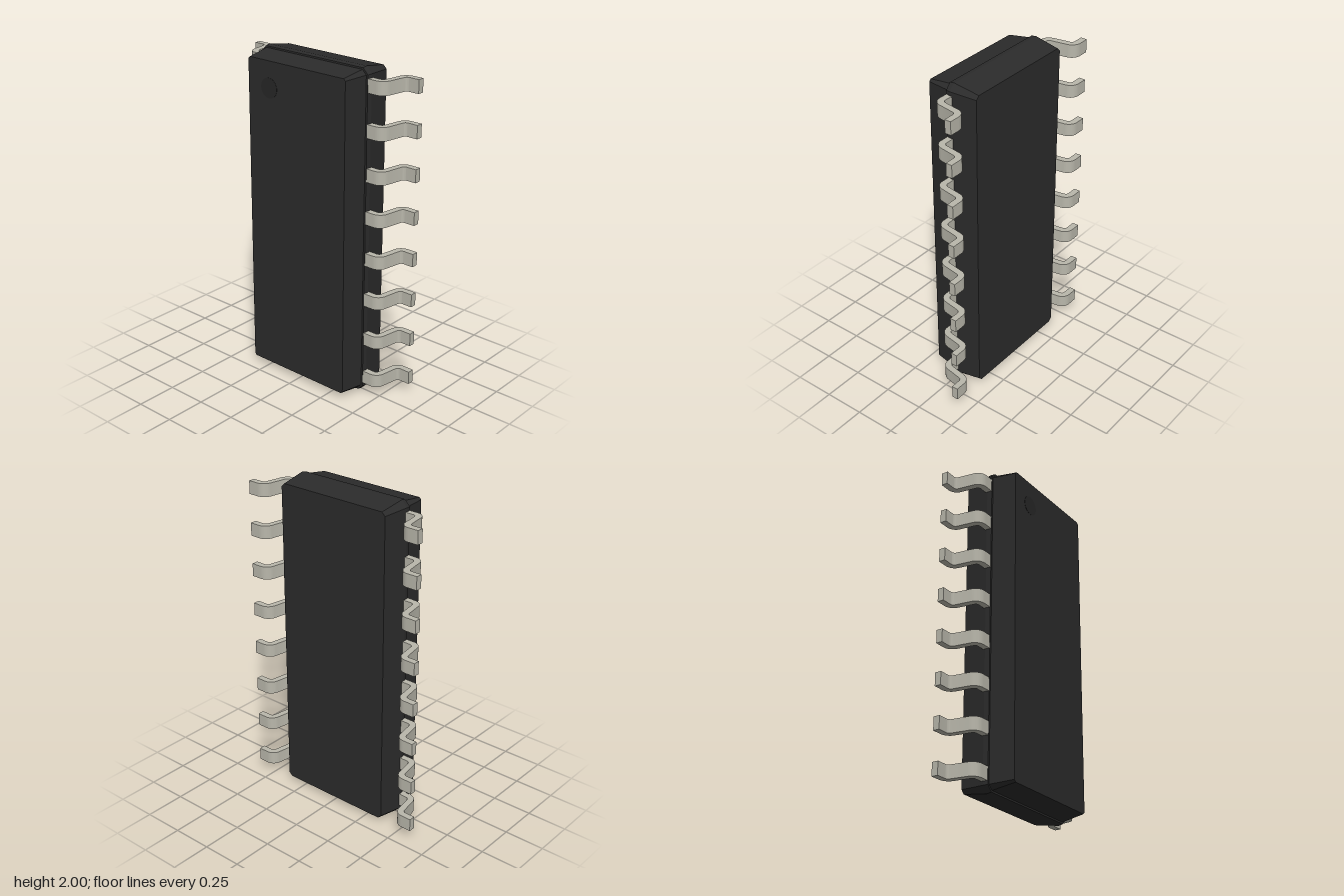
import * as THREE from 'three';
import { toCreasedNormals } from 'three/addons/utils/BufferGeometryUtils.js';

const PINS = 8, PITCH = 0.257, LEAD_WIDTH = 0.08;

// Rectangle with cut corners, counter-clockwise seen from +z
function octagon([z, w, h, c]) {
  return [[w, -h + c], [w, h - c], [w - c, h], [-w + c, h],
    [-w, h - c], [-w, -h + c], [-w + c, -h], [w - c, -h]]
    .map(([x, y]) => new THREE.Vector3(x, y, z));
}

// Flat-faced loft through sections ordered from back to front, capped at both ends
function loft(sections) {
  const rings = sections.map(octagon), pts = [];
  const n = rings[0].length, last = rings.length - 1;
  for (let s = 0; s < last; s++) {
    for (let i = 0; i < n; i++) {
      const j = (i + 1) % n, a = rings[s], b = rings[s + 1];
      pts.push(a[i], a[j], b[j], a[i], b[j], b[i]);
    }
  }
  for (let i = 1; i < n - 1; i++) {
    pts.push(rings[last][0], rings[last][i], rings[last][i + 1]);
    pts.push(rings[0][0], rings[0][i + 1], rings[0][i]);
  }
  const geo = new THREE.BufferGeometry().setFromPoints(pts);
  geo.computeVertexNormals();
  return geo;
}

// Gull-wing strip: profile drawn in x/z, extruded along y
function leadGeometry() {
  const d = THREE.MathUtils.degToRad, s = new THREE.Shape();
  s.moveTo(0.36, 0.0275);
  s.lineTo(0.447, 0.0275);
  s.absarc(0.447, -0.032, 0.0595, d(90), d(10), true);
  s.absarc(0.543, -0.12, 0.0205, d(190), d(270), false);
  s.lineTo(0.607, -0.1405);
  s.lineTo(0.607, -0.18);
  s.absarc(0.543, -0.12, 0.06, d(270), d(190), true);
  s.absarc(0.447, -0.032, 0.0205, d(10), d(90), false);
  s.lineTo(0.36, -0.0115);
  s.closePath();
  const geo = new THREE.ExtrudeGeometry(s, { depth: LEAD_WIDTH, bevelEnabled: false, curveSegments: 8 });
  geo.translate(0, 0, -LEAD_WIDTH / 2).rotateX(Math.PI / 2);
  return toCreasedNormals(geo, 0.5);
}

export function createModel() {
  const model = new THREE.Group();
  model.name = 'chipPackage';
  const plastic = new THREE.MeshStandardMaterial({ name: 'black plastic', color: 0x2b2b2b });
  const dotMat = new THREE.MeshStandardMaterial({ name: 'dark marker', color: 0x272727 });
  const metal = new THREE.MeshStandardMaterial({ name: 'tinned metal', color: 0xb9b7ab });

  // Moulded body: z, half width, half height, corner cut; steps in at the parting line
  const body = new THREE.Mesh(loft([
    [-0.158, 0.372, 0.973, 0.021],
    [0, 0.397, 1, 0.037],
    [0.029, 0.392, 0.995, 0.034],
    [0.029, 0.381, 0.985, 0.027],
    [0.175, 0.357, 0.963, 0.012],
  ]), plastic);
  body.name = 'body';
  body.position.y = 1;
  model.add(body);

  // Round marker beside the first lead
  const marker = new THREE.Mesh(new THREE.CylinderGeometry(0.06, 0.06, 0.004, 40).rotateX(Math.PI / 2), dotMat);
  marker.name = 'pinOneMarker';
  marker.position.set(-0.2, 1.805, 0.1745);
  model.add(marker);

  // Rows of leads; a half turn about z gives the other side
  const geo = leadGeometry();
  for (const side of ['left', 'right']) {
    const row = new THREE.Group();
    row.name = side + 'Leads';
    for (let i = 0; i < PINS; i++) {
      const lead = new THREE.Mesh(geo, metal);
      lead.name = side + 'Lead' + (i + 1);
      lead.position.y = (i - (PINS - 1) / 2) * PITCH;
      row.add(lead);
    }
    row.position.y = 1;
    if (side === 'right') row.rotation.z = Math.PI;
    model.add(row);
  }
  return model;
}
